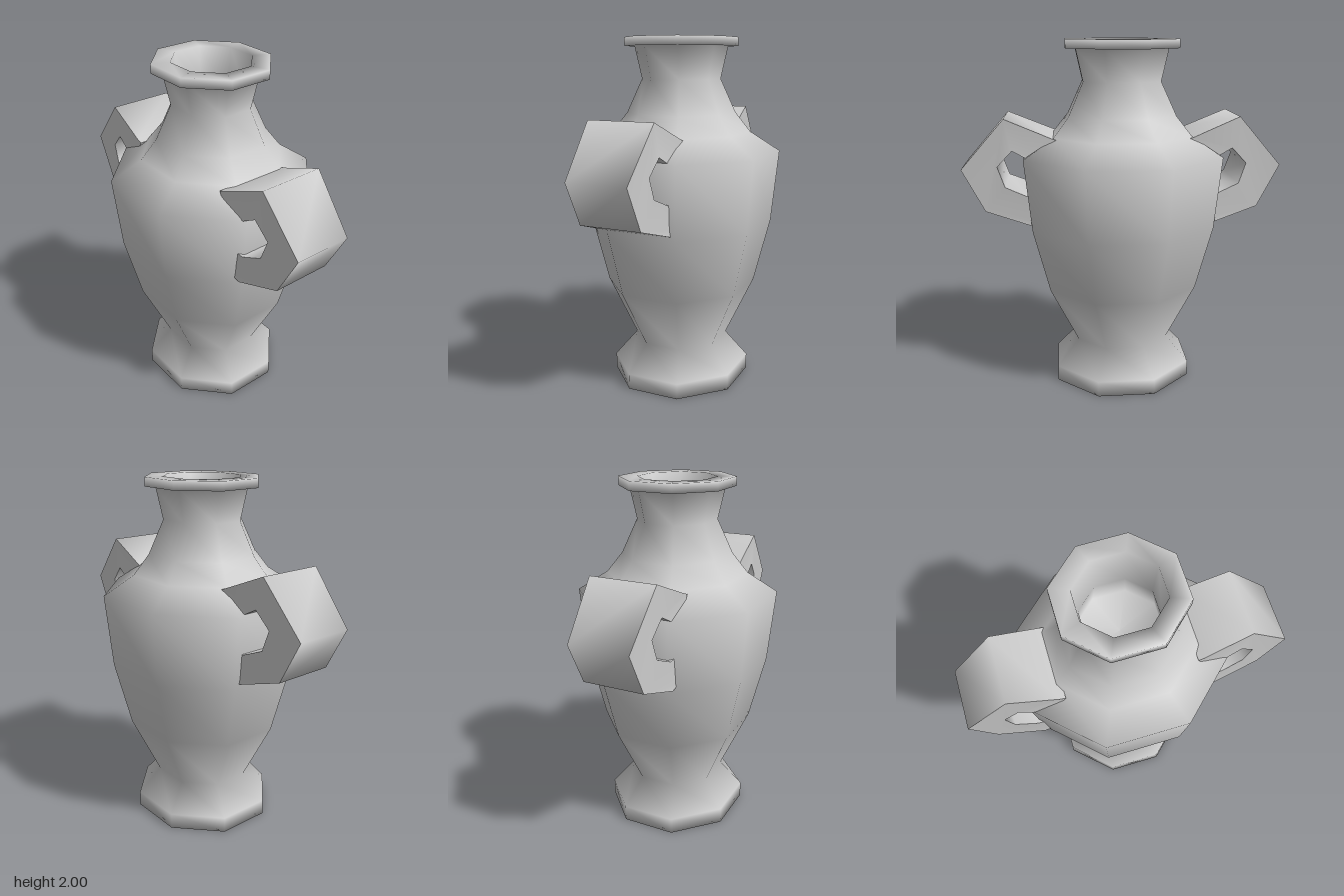
import * as THREE from 'three';
import { toCreasedNormals } from 'three/addons/utils/BufferGeometryUtils.js';

const material = new THREE.MeshStandardMaterial({ color: 0xcccccc });

// Eight-sided vase: profile of [half width, height], slightly deeper than wide
function makeBody() {
  const profile = [
    [0, 0], [0.37, 0], [0.37, 0.09], [0.25, 0.24], [0.40, 0.58], [0.485, 0.95],
    [0.522, 1.36], [0.365, 1.47], [0.285, 1.58], [0.205, 1.77], [0.242, 1.95],
    [0.295, 1.95], [0.295, 2], [0.2, 2], [0.18, 1.77], [0.2, 1.6], [0, 1.58],
  ];
  const toCorner = 1 / Math.cos(Math.PI / 8);
  const points = profile.map(([w, y]) => new THREE.Vector2(w * toCorner, y));
  const geometry = new THREE.LatheGeometry(points, 8, Math.PI / 8);
  geometry.scale(1, 1, 1.06);
  const body = new THREE.Mesh(geometry, material);
  body.name = 'vaseBody';
  return body;
}

// Broad strap handle, outlined in the side plane as [distance out, height]
function makeHandle(side) {
  const outline = [
    [0.36, 1.46], [0.39, 1.47], [0.655, 1.58], [0.9, 1.3], [0.775, 1.06], [0.52, 0.98],
    [0.46, 1.0], [0.48, 1.16], [0.54, 1.15], [0.66, 1.2], [0.7, 1.315],
    [0.615, 1.405], [0.54, 1.365], [0.42, 1.34],
  ];
  const shape = new THREE.Shape(outline.map(([z, y]) => new THREE.Vector2(side * z, y)));
  let geometry = new THREE.ExtrudeGeometry(shape, { depth: 1, bevelEnabled: false });
  geometry.rotateY(-Math.PI / 2);

  // Widen the strap towards the body
  const pos = geometry.attributes.position;
  for (let i = 0; i < pos.count; i++) {
    const t = THREE.MathUtils.clamp((0.8 - Math.abs(pos.getZ(i))) / 0.3, 0, 1);
    pos.setX(i, pos.getX(i) < -0.5 ? -0.2 - 0.035 * t : 0.14 + 0.04 * t);
  }
  geometry = toCreasedNormals(geometry, 1.3);
  const handle = new THREE.Mesh(geometry, material);
  handle.name = side > 0 ? 'frontHandle' : 'backHandle';
  return handle;
}

export function createModel() {
  const vase = new THREE.Group();
  vase.name = 'vase';
  vase.add(makeBody(), makeHandle(1), makeHandle(-1));
  return vase;
}
